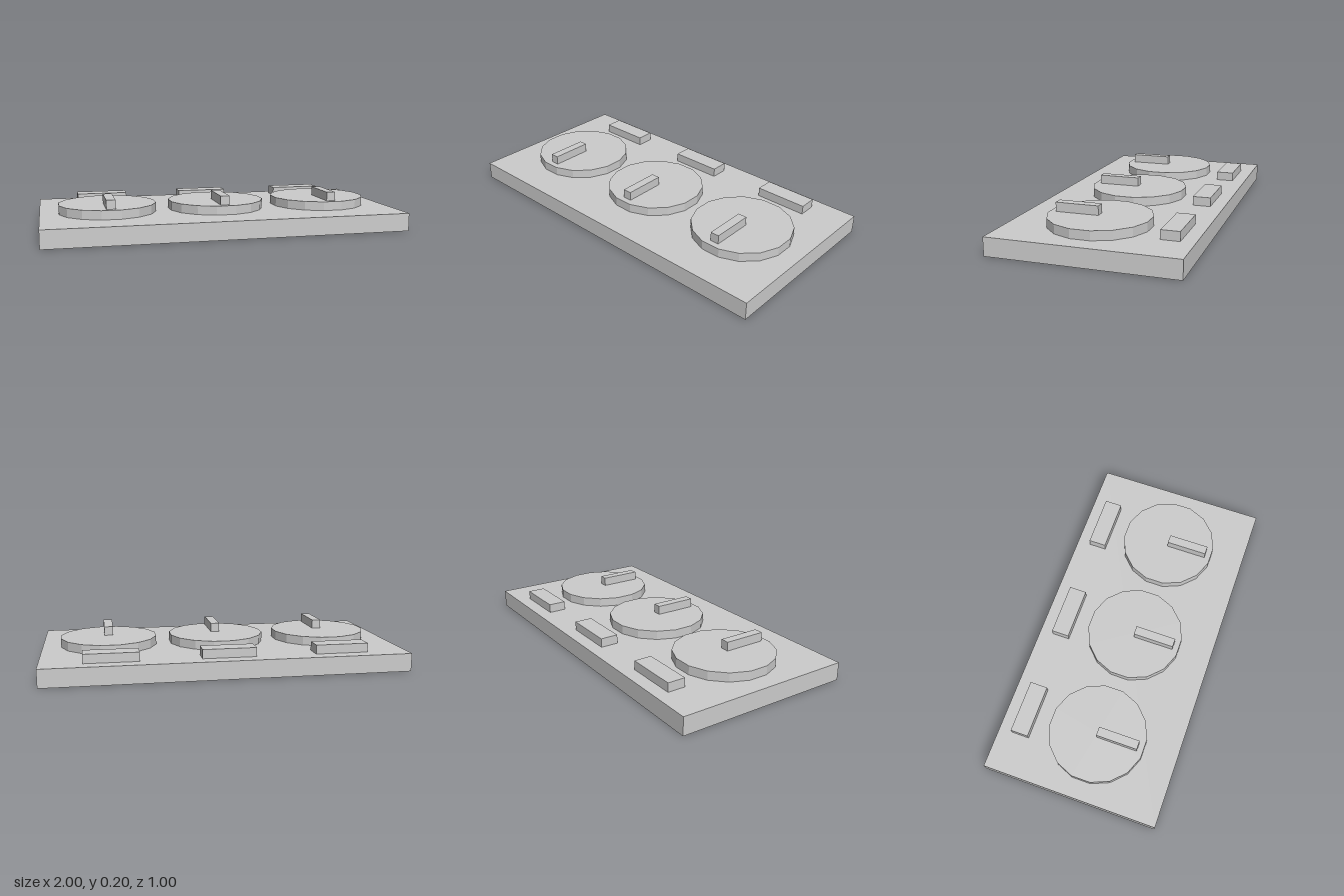
import * as THREE from 'three';

export function createModel() {
  const group = new THREE.Group();
  const grey = new THREE.MeshStandardMaterial({ color: 0xcccccc });
  grey.name = 'light grey';

  const add = (name, geometry, x, y, z) => {
    const mesh = new THREE.Mesh(geometry, grey);
    mesh.name = name;
    mesh.position.set(x, y, z);
    group.add(mesh);
  };

  // Base slab
  add('basePlate', new THREE.BoxGeometry(2, 0.1, 1), 0, 0.05, 0);

  // Sixteen-sided dial with flat sides facing the axes and crisp facets
  const sides = 16;
  const dial = new THREE.CylinderGeometry(0.275, 0.275, 0.05, sides, 1)
    .rotateY(Math.PI / sides).toNonIndexed();
  dial.computeVertexNormals();
  const pointer = new THREE.BoxGeometry(0.05, 0.05, 0.235);
  const label = new THREE.BoxGeometry(0.295, 0.05, 0.1);

  // Three dials, each with a pointer on top and a label bar behind
  ['right', 'middle', 'left'].forEach((side, i) => {
    const x = (i - 1) * 0.626;
    add(side + 'Dial', dial, x, 0.125, 0.038);
    add(side + 'Pointer', pointer, x, 0.175, 0.157);
    add(side + 'LabelBar', label, x, 0.125, -0.374);
  });

  return group;
}
